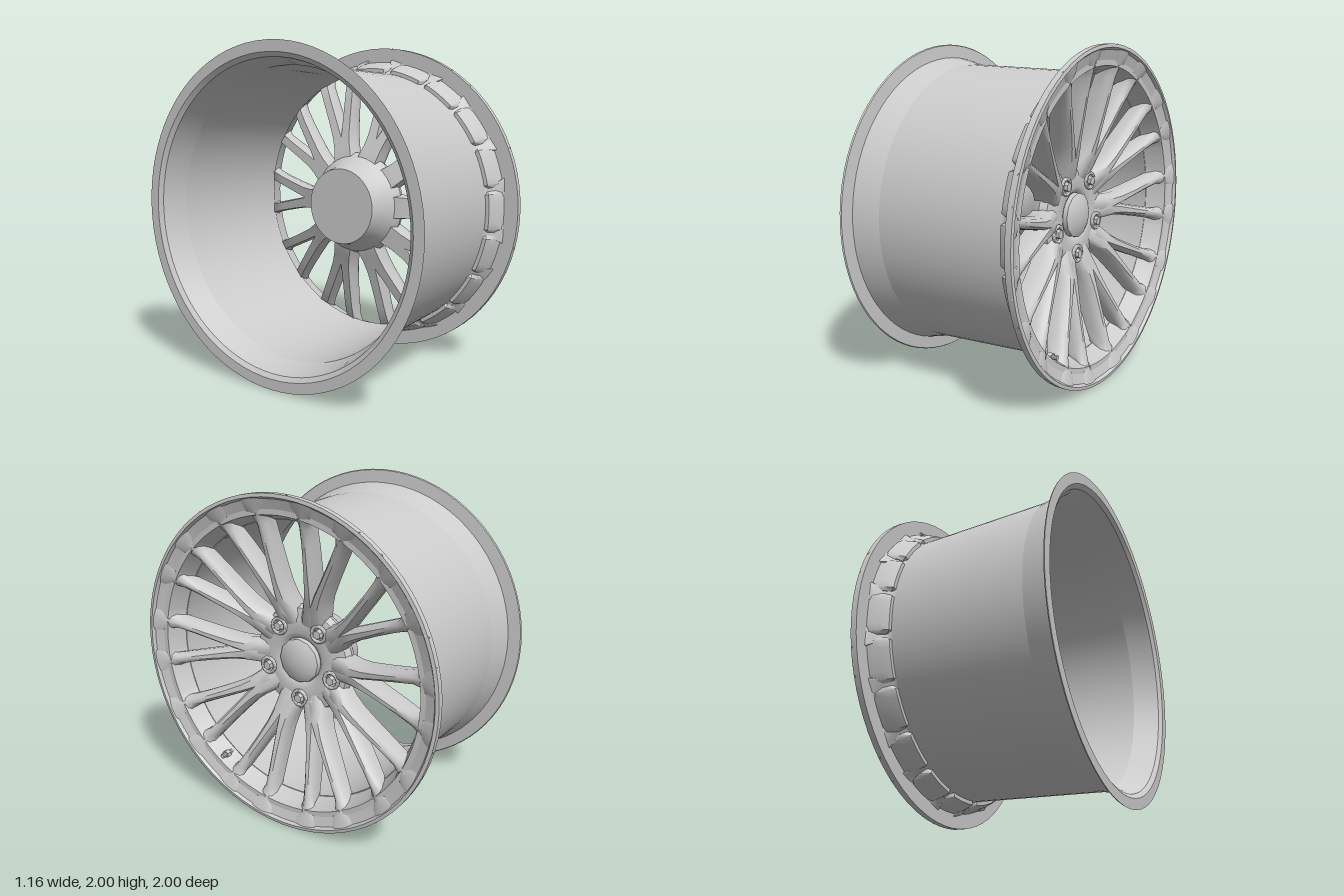
import * as THREE from 'three';
import { toCreasedNormals } from 'three/addons/utils/BufferGeometryUtils.js';

const material = new THREE.MeshStandardMaterial({ color: 0xcccccc, side: THREE.DoubleSide });

function addMesh(parent, name, geometry, crease = 0.6) {
  const mesh = new THREE.Mesh(toCreasedNormals(geometry, crease), material);
  mesh.name = name;
  parent.add(mesh);
  return mesh;
}

// Revolved [radius, depth] profile, turned so that the axle runs along z
function revolve(profile, sides = 80) {
  const points = profile.map(([r, d]) => new THREE.Vector2(r, d));
  return new THREE.LatheGeometry(points, sides).rotateX(Math.PI / 2);
}

// Closed solid through cross-sections with equal numbers of [x, y, z] corners
function loft(sections) {
  const n = sections[0].length;
  const positions = [];
  const tri = (a, b, c) => positions.push(...a, ...b, ...c);
  for (let i = 0; i < sections.length - 1; i++) {
    const a = sections[i], b = sections[i + 1];
    for (let j = 0; j < n; j++) {
      const k = (j + 1) % n;
      tri(a[j], b[j], b[k]);
      tri(a[j], b[k], a[k]);
    }
  }
  const first = sections[0], last = sections[sections.length - 1];
  for (let j = 1; j < n - 1; j++) {
    tri(first[0], first[j], first[j + 1]);
    tri(last[0], last[j + 1], last[j]);
  }
  // Turn the faces outward when the signed volume is negative
  let volume = 0;
  const a = new THREE.Vector3(), b = new THREE.Vector3(), c = new THREE.Vector3();
  for (let i = 0; i < positions.length; i += 9) {
    a.fromArray(positions, i); b.fromArray(positions, i + 3); c.fromArray(positions, i + 6);
    volume += a.dot(b.cross(c));
  }
  if (volume < 0) {
    for (let i = 0; i < positions.length; i += 9) {
      for (let k = 0; k < 3; k++) {
        const t = positions[i + 3 + k];
        positions[i + 3 + k] = positions[i + 6 + k];
        positions[i + 6 + k] = t;
      }
    }
  }
  const geometry = new THREE.BufferGeometry();
  geometry.setAttribute('position', new THREE.Float32BufferAttribute(positions, 3));
  geometry.computeVertexNormals();
  return geometry;
}

// One arm of a forked spoke, running out along +x and leaning to one side
function spokeArm(side) {
  // radius, sideways offset, ridge half width, body half width, front depth, back depth
  const stations = [
    [0.18, 0.018, 0.030, 0.060, 0.345, 0.24],
    [0.25, 0.018, 0.030, 0.066, 0.375, 0.24],
    [0.31, 0.019, 0.028, 0.060, 0.395, 0.25],
    [0.38, 0.024, 0.022, 0.048, 0.42, 0.275],
    [0.46, 0.036, 0.017, 0.040, 0.44, 0.30],
    [0.58, 0.062, 0.013, 0.037, 0.468, 0.335],
    [0.72, 0.094, 0.011, 0.036, 0.50, 0.375],
    [0.82, 0.119, 0.010, 0.038, 0.525, 0.41],
    [0.87, 0.131, 0.010, 0.050, 0.54, 0.485],
    [0.91, 0.140, 0.012, 0.066, 0.555, 0.543],
    [0.975, 0.154, 0.020, 0.085, 0.576, 0.562]
  ];
  return loft(stations.map(([r, t, ridge, body, front, back]) => {
    const depth = front - back;
    const half = [[body * 0.8, back], [body, front - depth * 0.5],
      [ridge + (body - ridge) * 0.65, front - depth * 0.16], [ridge, front]];
    const mirrored = half.map(([w, d]) => [-w, d]).reverse();
    return [...half, ...mirrored].map(([w, d]) => [r, side * (t + w), d]);
  }));
}

// Shell of one window pocket bulging out behind the front lip
function pocketBlock() {
  const sections = [-1, -0.85, -0.5, 0, 0.5, 0.85, 1].map((u) => {
    const angle = u * 0.146;
    const end = Math.abs(u) === 1 ? 1 : 0;
    const back = 0.42 + end * 0.025;
    const corners = [[0.838, back], [0.868 - end * 0.015, back], [0.89 - end * 0.012, 0.47],
      [0.912 - end * 0.015, 0.545], [0.88, 0.545]];
    return corners.map(([r, d]) => [r * Math.cos(angle), r * Math.sin(angle), d]);
  });
  return loft(sections);
}

export function createModel() {
  const model = new THREE.Group();
  model.name = 'wheelRim';
  const wheel = new THREE.Group();
  wheel.name = 'wheel';
  wheel.position.y = 1;
  wheel.rotation.y = Math.PI / 2; // axle along x, face toward +x
  model.add(wheel);

  // Barrel with the rear flange
  addMesh(wheel, 'barrel', revolve([
    [0.845, 0.425], [0.878, -0.4], [0.918, -0.565], [0.995, -0.572], [1, -0.58],
    [0.935, -0.58], [0.908, -0.56], [0.868, -0.4], [0.835, 0.425], [0.845, 0.425]
  ]), 0.15);

  // Front lip and the bevel that runs in to the barrel
  addMesh(wheel, 'frontLip', revolve([
    [0.838, 0.42], [0.868, 0.48], [0.905, 0.543], [0.968, 0.562], [0.98, 0.58], [1, 0.577],
    [1, 0.54], [0.90, 0.54], [0.862, 0.485], [0.845, 0.42], [0.838, 0.42]
  ]), 0.35);

  // Pockets, one between each two spoke tips
  const block = pocketBlock();
  for (let i = 0; i < 20; i++) {
    addMesh(wheel, 'pocketBlock', block).rotation.z = i * Math.PI / 10;
  }

  // Ten forked spokes
  const arms = [spokeArm(1), spokeArm(-1)];
  for (let i = 0; i < 10; i++) {
    const spoke = new THREE.Group();
    spoke.name = 'forkedSpoke';
    spoke.rotation.z = i * Math.PI / 5;
    arms.forEach((arm) => addMesh(spoke, 'spokeArm', arm, 0.9));
    wheel.add(spoke);
  }

  // Hub with its mounting pad at the back
  addMesh(wheel, 'hub', revolve([
    [0, 0.1], [0.24, 0.1], [0.26, 0.18], [0.31, 0.25], [0.33, 0.30], [0.315, 0.345],
    [0.25, 0.362], [0.17, 0.365], [0.145, 0.355], [0.13, 0.34], [0, 0.34]
  ], 40), 0.6);

  // Domed centre cap
  addMesh(wheel, 'centreCap', revolve([
    [0.137, 0.34], [0.134, 0.375], [0.10, 0.393], [0.05, 0.404], [0, 0.408]
  ], 12), 0.6);

  // Five wheel bolts in raised seats
  for (let i = 0; i < 5; i++) {
    const angle = -Math.PI / 2 + i * Math.PI * 2 / 5;
    const bolt = new THREE.Group();
    bolt.name = 'wheelBolt';
    bolt.position.set(0.236 * Math.cos(angle), 0.236 * Math.sin(angle), 0.372);
    addMesh(bolt, 'boltSeat', new THREE.TorusGeometry(0.046, 0.011, 8, 20), 1);
    addMesh(bolt, 'boltHead', new THREE.CylinderGeometry(0.026, 0.032, 0.04, 6).rotateX(Math.PI / 2), 0.4);
    wheel.add(bolt);
  }

  // Tyre valve in one window
  const valve = new THREE.Group();
  valve.name = 'valve';
  valve.position.set(-0.49, -0.7, 0.49);
  addMesh(valve, 'valveStem', new THREE.CylinderGeometry(0.014, 0.014, 0.09, 10).rotateX(Math.PI / 2), 0.6);
  addMesh(valve, 'valveNut', new THREE.CylinderGeometry(0.024, 0.024, 0.03, 6).rotateX(Math.PI / 2), 0.4);
  wheel.add(valve);

  return model;
}
